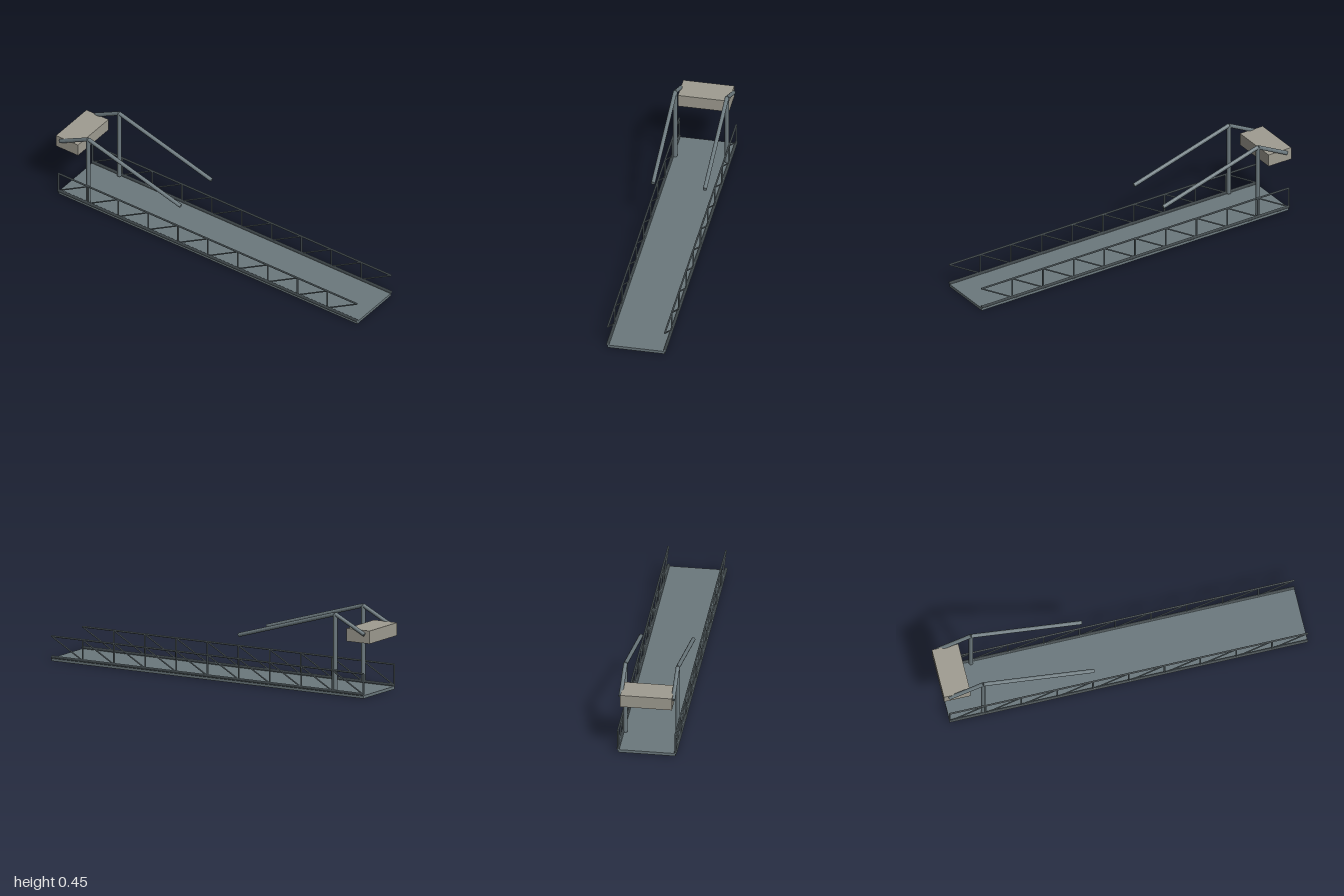
import * as THREE from 'three';

export function createModel() {
  const model = new THREE.Group();
  model.name = 'drawbridge';
  const steel = new THREE.MeshStandardMaterial({ color: 0x6b787d, flatShading: true });
  steel.name = 'steel grey';
  const concrete = new THREE.MeshStandardMaterial({ color: 0x9f9c91, flatShading: true });
  concrete.name = 'concrete';

  const box = (name, size, pos, material) => {
    const mesh = new THREE.Mesh(new THREE.BoxGeometry(...size), material);
    mesh.position.set(...pos);
    mesh.name = name;
    model.add(mesh);
  };

  // Round bar between two points in the side plane at depth z
  const bar = (parent, name, [x0, y0], [x1, y1], z, radius, sides = 8) => {
    const a = new THREE.Vector3(x0, y0, z);
    const b = new THREE.Vector3(x1, y1, z);
    const dir = b.clone().sub(a);
    const mesh = new THREE.Mesh(
      new THREE.CylinderGeometry(radius, radius, dir.length(), sides), steel);
    mesh.position.copy(a).add(b).multiplyScalar(0.5);
    mesh.quaternion.setFromUnitVectors(new THREE.Vector3(0, 1, 0), dir.normalize());
    mesh.name = name;
    parent.add(mesh);
  };

  const start = -0.972, end = 0.993, bays = 10;
  const step = (end - start) / bays;
  const low = 0.022, high = 0.135;

  // Deck and counterweight
  box('deck', [end - start, 0.016, 0.31], [(start + end) / 2, 0.008, 0], steel);
  box('counterweight', [0.145, 0.07, 0.278], [-0.9275, 0.333, 0], concrete);

  for (const side of [1, -1]) {
    // Truss railing
    const railing = new THREE.Group();
    railing.name = side > 0 ? 'frontRailing' : 'backRailing';
    const zr = side * 0.155;
    bar(railing, 'bottomChord', [start, low], [end, low], zr, 0.008, 10);
    bar(railing, 'topRail', [start, high], [end, high], zr, 0.005);
    for (let i = 0; i < bays; i++) {
      const x = start + i * step;
      bar(railing, 'railingPost', [x, low], [x, high], zr, 0.0045);
      bar(railing, 'railingDiagonal', [x, low], [x + step, high], zr, 0.004);
    }
    model.add(railing);

    // Lifting tower with its balance beam
    const tower = new THREE.Group();
    tower.name = side > 0 ? 'frontTower' : 'backTower';
    const zt = side * 0.141, top = [-0.785, 0.439];
    bar(tower, 'towerPost', [-0.785, low], top, zt, 0.012, 12);
    bar(tower, 'liftingArm', top, [-0.178, 0.262], zt, 0.011, 12);
    bar(tower, 'counterweightArm', top, [-0.97, 0.345], zt, 0.011, 12);
    model.add(tower);
  }
  return model;
}
